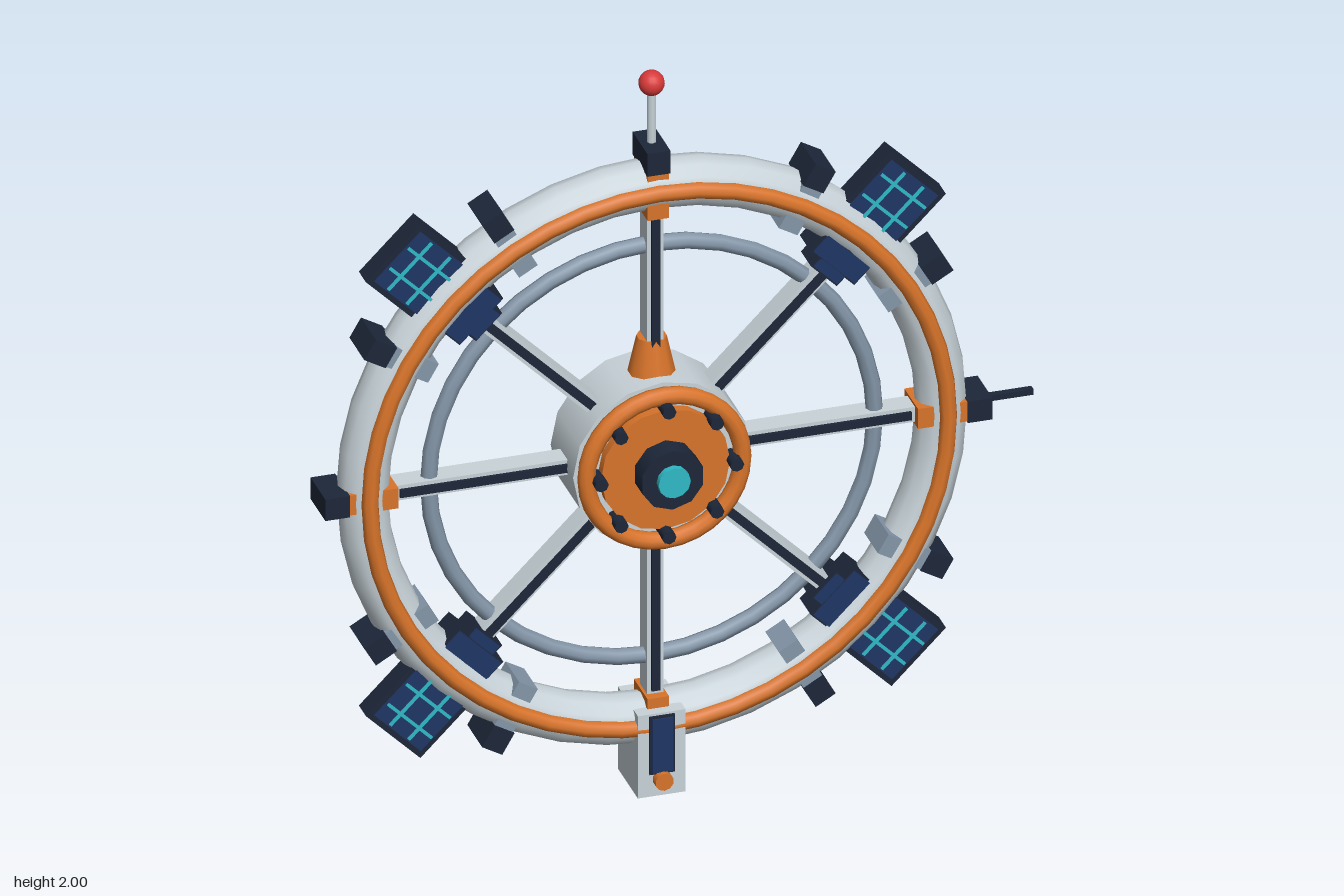
import * as THREE from 'three';

const mat = (name, color) => {
  const m = new THREE.MeshStandardMaterial({ color });
  m.name = name;
  return m;
};

export function createModel() {
  const shell = mat('pale grey shell', 0xc8d3d9);
  const steel = mat('blue grey steel', 0x8496a8);
  const orange = mat('orange trim', 0xd8742a);
  const dark = mat('dark navy metal', 0x1d2739);
  const navy = mat('blue panel', 0x1f3564);
  const cyan = mat('cyan glow', 0x2fb9c6);
  const red = mat('red beacon', 0xd83a3a);

  const model = new THREE.Group();
  model.name = 'ringStation';
  // Wheel is built around its own axis, then moved into place
  const wheel = new THREE.Group();
  wheel.name = 'wheel';
  wheel.position.set(-0.063, 0.935, -0.027);
  model.add(wheel);

  const add = (parent, name, geo, material, x = 0, y = 0, z = 0) => {
    const m = new THREE.Mesh(geo, material);
    m.name = name;
    m.position.set(x, y, z);
    parent.add(m);
    return m;
  };
  // Box given by its x, y and z ranges
  const box = (parent, name, material, [x0, x1], [y0, y1], [z0, z1]) =>
    add(parent, name, new THREE.BoxGeometry(x1 - x0, y1 - y0, z1 - z0), material,
      (x0 + x1) / 2, (y0 + y1) / 2, (z0 + z1) / 2);
  // Cylinder along z between two depths
  const disc = (parent, name, material, r, z0, z1, sides, x = 0, y = 0) =>
    add(parent, name, new THREE.CylinderGeometry(r, r, z1 - z0, sides).rotateX(Math.PI / 2),
      material, x, y, (z0 + z1) / 2);
  // Arm whose +x axis points outward at the given angle
  const arm = (name, degrees) => {
    const g = new THREE.Group();
    g.name = name;
    g.rotation.z = THREE.MathUtils.degToRad(degrees);
    wheel.add(g);
    return g;
  };
  const sym = (h) => [-h, h];

  // Rings
  add(wheel, 'outerRing', new THREE.TorusGeometry(0.752, 0.066, 12, 40), shell);
  add(wheel, 'trimRing', new THREE.TorusGeometry(0.752, 0.022, 8, 48), orange, 0, 0, 0.063);
  add(wheel, 'innerRing', new THREE.TorusGeometry(0.58, 0.022, 8, 40), steel);

  // Hub
  disc(wheel, 'hub', shell, 0.232, -0.095, 0.088, 16);
  disc(wheel, 'hubBackCap', dark, 0.188, -0.138, -0.09, 12);
  add(wheel, 'hubTrim', new THREE.TorusGeometry(0.203, 0.023, 10, 32), orange, 0, 0, 0.105);
  disc(wheel, 'hubFace', orange, 0.168, 0.085, 0.115, 16);
  disc(wheel, 'hubBoss', dark, 0.083, 0.11, 0.173, 10);
  disc(wheel, 'hubLight', cyan, 0.042, 0.17, 0.19, 12);
  for (let i = 0; i < 8; i++) {
    const a = (i * Math.PI) / 4;
    disc(wheel, 'hubBolt', dark, 0.018, 0.085, 0.148, 8, 0.176 * Math.cos(a), 0.176 * Math.sin(a));
  }
  add(wheel, 'hubTower', new THREE.CylinderGeometry(0.038, 0.06, 0.1, 10), orange, 0, 0.27, 0);

  // Spokes with a dark front strip
  for (let i = 0; i < 8; i++) {
    const g = arm('spoke', i * 45);
    box(g, 'spokeBeam', shell, [0.2, 0.7], sym(0.021), sym(0.03));
    box(g, 'spokeStrip', dark, [0.22, 0.665], sym(0.011), [0.03, 0.038]);
  }

  // Orange collars at the quarter points, steel collars between
  for (let a = 0; a < 360; a += 30) {
    const quarter = a % 90 === 0;
    const g = arm(quarter ? 'quarterCollar' : 'ringClamp', a);
    box(g, 'collar', quarter ? orange : steel, [0.675, 0.815], sym(0.028), sym(0.056));
    box(g, 'clampBlock', dark, [0.803, 0.867], sym(0.03), sym(0.061));
  }

  // Panels on the diagonals
  for (let a = 45; a < 360; a += 90) {
    const g = arm('panelArm', a);
    box(g, 'panelFrame', dark, [0.77, 0.966], sym(0.1), [-0.022, 0.036]);
    box(g, 'panelFace', navy, [0.785, 0.951], sym(0.085), [0.036, 0.04]);
    for (const s of [-1, 1]) {
      const c = 0.873 + s * 0.034, t = s * 0.034;
      box(g, 'panelLine', cyan, [c - 0.004, c + 0.004], sym(0.08), [0.04, 0.045]);
      box(g, 'panelLine', cyan, [0.79, 0.946], [t - 0.004, t + 0.004], [0.04, 0.045]);
    }
    // Equipment bay on the inside of the ring
    box(g, 'innerBay', dark, [0.645, 0.71], sym(0.08), sym(0.045));
    box(g, 'innerBayFace', navy, [0.65, 0.705], sym(0.075), [0.045, 0.051]);
    box(g, 'innerBayStep', dark, [0.615, 0.65], sym(0.048), sym(0.04));
    box(g, 'innerBayStepFace', navy, [0.62, 0.648], sym(0.042), [0.04, 0.046]);
  }

  // Mast with beacon, and side probe
  add(wheel, 'mast', new THREE.CylinderGeometry(0.012, 0.012, 0.17, 8), shell, 0, 0.94, 0);
  add(wheel, 'beacon', new THREE.SphereGeometry(0.033, 16, 12), red, 0, 1.032, 0);
  box(wheel, 'sideProbe', dark, [0.86, 0.99], sym(0.008), sym(0.009));

  // Foot with panel and lamp
  box(model, 'foot', shell, [-0.125, -0.001], [0, 0.232], [-0.107, 0.056]);
  box(model, 'footPanelFrame', dark, [-0.096, -0.03], [0.064, 0.226], [0.056, 0.062]);
  box(model, 'footPanel', navy, [-0.09, -0.036], [0.07, 0.22], [0.062, 0.067]);
  disc(model, 'footLamp', orange, 0.024, 0.05, 0.08, 10, -0.063, 0.048);

  return model;
}
